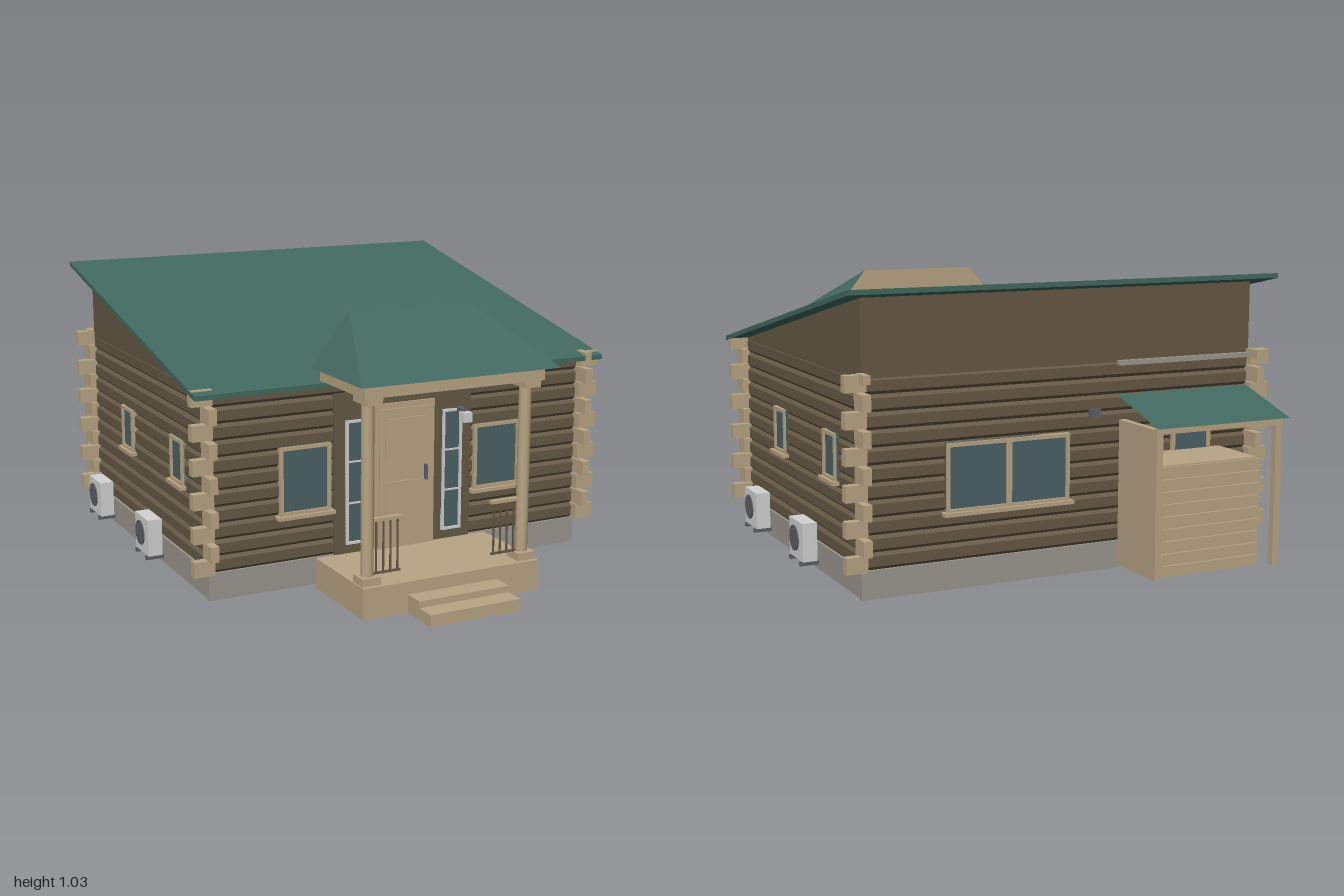
import * as THREE from 'three';

const mat = (name, color, side = THREE.FrontSide) => {
  const m = new THREE.MeshStandardMaterial({ color, side });
  m.name = name;
  return m;
};

export function createModel() {
  const tan = mat('pale timber', 0xb8a584);
  const brown = mat('dark log', 0x665945);
  const green = mat('green roofing', 0x42695f, THREE.DoubleSide);
  const stone = mat('foundation grey', 0x9b968f);
  const white = mat('light grey', 0xd2d2d2);
  const glass = mat('window glass', 0x4c6266);
  const metal = mat('dark metal', 0x5e5f66);

  const model = new THREE.Group();
  model.name = 'logCabin';

  const add = (parent, name, geo, m, x = 0, y = 0, z = 0) => {
    const mesh = new THREE.Mesh(geo, m);
    mesh.name = name;
    mesh.position.set(x, y, z);
    parent.add(mesh);
    return mesh;
  };
  // Box given by its limits on each axis
  const box = (parent, name, m, x0, x1, y0, y1, z0, z1) =>
    add(parent, name, new THREE.BoxGeometry(x1 - x0, y1 - y0, z1 - z0), m,
      (x0 + x1) / 2, (y0 + y1) / 2, (z0 + z1) / 2);
  const group = (parent, name) => {
    const g = new THREE.Group();
    g.name = name;
    parent.add(g);
    return g;
  };
  // Extrude a (z, y) profile along x, centred on x = 0
  const alongX = (points, width) => {
    const shape = new THREE.Shape(points.map(p => new THREE.Vector2(...p)));
    return new THREE.ExtrudeGeometry(shape, { depth: width, bevelEnabled: false })
      .translate(0, 0, -width / 2).rotateY(-Math.PI / 2);
  };

  // Log walls: local x runs along the wall, local z points outward
  const Y0 = 0.115, ROWS = 11, H = 0.0577;
  const wall = (name, length, x, z, turn) => {
    const g = group(model, name);
    g.position.set(x, 0, z);
    g.rotation.y = turn;
    const p = [[-0.01, Y0]];
    for (let i = 0; i < ROWS; i++) {
      const y = Y0 + i * H;
      p.push([0.003, y], [0.015, y + 0.2 * H], [0.015, y + 0.8 * H]);
    }
    p.push([0.003, Y0 + ROWS * H], [-0.01, Y0 + ROWS * H]);
    add(g, 'logCourses', alongX(p, length), brown);
    box(g, 'foundation', stone, -length / 2 - 0.012, length / 2 + 0.012, 0.017, Y0, -0.008, 0.012);
    return g;
  };
  const front = wall('frontWall', 1.47, 0, 0.47, 0);
  const back = wall('backWall', 1.47, 0, -0.72, Math.PI);
  const right = wall('rightWall', 1.19, -0.73, -0.125, -Math.PI / 2);
  const left = wall('leftWall', 1.19, 0.73, -0.125, Math.PI / 2);

  // Plain boarding above the logs
  for (const s of [-1, 1]) {
    add(model, 'gablePanel', alongX([[-0.728, 0.73], [0.47, 0.73], [0.47, 0.75], [-0.728, 1.003]], 0.016),
      brown, s * 0.735, 0, 0);
  }
  box(model, 'rearPanel', brown, -0.743, 0.743, 0.745, 1.003, -0.732, -0.716);

  // Single-pitch main roof
  add(model, 'mainRoof', alongX([[0.545, 0.735], [0.545, 0.752], [-0.805, 1.036], [-0.805, 1.019]], 1.62), green);

  // Framed window with glass passing through the wall
  const windowUnit = (g, x0, x1, y0, y1, frame = tan, t = 0.013, bars = 0, out = 0.02) => {
    const w = group(g, 'window');
    box(w, 'pane', glass, x0, x1, y0, y1, -0.013, out);
    for (const x of [x0, x1 - t]) box(w, 'jamb', frame, x, x + t, y0, y1, -0.016, out + 0.008);
    for (const y of [y0, y1 - t]) box(w, 'rail', frame, x0, x1, y, y + t, -0.016, out + 0.008);
    for (let i = 1; i <= bars; i++) {
      const y = y0 + (y1 - y0) * i / (bars + 1);
      box(w, 'bar', frame, x0, x1, y - 0.003, y + 0.003, out, out + 0.005);
    }
    return w;
  };
  const sill = (g, x0, x1, y) => box(g, 'sill', tan, x0 - 0.012, x1 + 0.012, y - 0.01, y + 0.003, 0, 0.04);

  for (const s of [-1, 1]) {
    const a = Math.min(s * 0.29, s * 0.485), b = Math.max(s * 0.29, s * 0.485);
    windowUnit(front, a, b, 0.285, 0.53);
    sill(front, a, b, 0.283);
  }
  for (const g of [left, right]) {
    for (const x of [-0.19, 0.335]) {
      windowUnit(g, x - 0.06, x + 0.06, 0.37, 0.535);
      sill(g, x - 0.06, x + 0.06, 0.37);
    }
  }
  const rear = windowUnit(back, -0.45, 0.01, 0.28, 0.515);
  box(rear, 'mullion', tan, -0.23, -0.21, 0.28, 0.515, 0.01, 0.028);
  sill(back, -0.45, 0.01, 0.28);
  windowUnit(back, 0.42, 0.58, 0.38, 0.54);
  box(back, 'ventBox', metal, 0.09, 0.13, 0.56, 0.59, 0.01, 0.03);
  box(back, 'flashing', stone, 0.2, 0.74, 0.735, 0.752, 0.01, 0.03);

  // Interlocked log ends at the four corners
  for (const sx of [-1, 1]) {
    for (const [sz, zc] of [[1, 0.485], [-1, -0.735]]) {
      const ends = group(model, 'cornerLogEnds');
      const block = (w, h, d, x, y, z) =>
        add(ends, 'logEnd', new THREE.BoxGeometry(w, h, d), tan, x, y, z);
      for (let k = 0; k < 6; k++) {
        const y = 0.145 + k * 0.118;
        block(0.075, 0.055, 0.034, sx * 0.7725, y, zc + sz * 0.012);
        if (k < 5) block(0.03, 0.055, 0.075, sx * 0.75, y + 0.059, zc + sz * 0.03);
      }
      if (sz < 0 || sx > 0) block(0.025, 0.03, 0.065, sx * 0.748, 0.75, zc + sz * 0.03);
    }
  }

  // Entrance: surround, sidelights, panelled door
  const entry = group(front, 'entrance');
  box(entry, 'surround', brown, -0.275, 0.275, Y0, 0.695, 0, 0.022);
  for (const s of [-1, 1]) {
    const w = windowUnit(entry, s * 0.194 - 0.04, s * 0.194 + 0.04, 0.15, 0.6, white, 0.009, 2, 0.026);
    w.name = 'sidelight';
  }
  box(entry, 'doorFrame', tan, -0.12, 0.12, Y0, 0.645, 0, 0.03);
  box(entry, 'door', tan, -0.103, 0.103, Y0, 0.625, 0.02, 0.035);
  for (const [a, b] of [[0.45, 0.59], [0.21, 0.36]]) box(entry, 'doorPanel', tan, -0.082, 0.082, a, b, 0.03, 0.04);
  box(entry, 'doorHandle', metal, 0.076, 0.085, 0.355, 0.41, 0.035, 0.048);
  box(entry, 'lampArm', metal, 0.21, 0.23, 0.585, 0.605, 0.02, 0.07);
  box(entry, 'lamp', white, 0.203, 0.237, 0.56, 0.595, 0.06, 0.098);

  // Porch floor and steps
  const porch = group(model, 'porch');
  box(porch, 'platform', tan, -0.345, 0.345, 0.003, 0.113, 0.485, 0.848);
  box(porch, 'upperStep', tan, -0.175, 0.175, 0.003, 0.068, 0.848, 0.925);
  box(porch, 'lowerStep', tan, -0.175, 0.175, 0.003, 0.045, 0.925, 1.0);

  // Columns and short railings
  for (const s of [-1, 1]) {
    const x = s * 0.305;
    add(porch, 'column', new THREE.CylinderGeometry(0.022, 0.022, 0.6, 12), tan, x, 0.44, 0.797);
    box(porch, 'columnBase', tan, x - 0.035, x + 0.035, 0.113, 0.14, 0.762, 0.832);
    box(porch, 'columnCap', tan, x - 0.03, x + 0.03, 0.732, 0.76, 0.75, 0.848);
    box(porch, 'handrail', tan, s * 0.23 - 0.055, s * 0.23 + 0.055, 0.325, 0.336, 0.787, 0.807);
    box(porch, 'lowerRail', brown, s * 0.23 - 0.05, s * 0.23 + 0.05, 0.14, 0.147, 0.793, 0.801);
    for (let i = 0; i < 4; i++) {
      add(porch, 'baluster', new THREE.BoxGeometry(0.005, 0.19, 0.006), brown, s * (0.19 + i * 0.027), 0.233, 0.797);
    }
  }

  // Porch beam and hipped roof with a timber rear face
  box(porch, 'beam', tan, -0.345, 0.345, 0.757, 0.806, 0.525, 0.855);
  const A = [-0.38, 0.805, 0.525], B = [-0.38, 0.805, 0.9], C = [0.38, 0.805, 0.9], D = [0.38, 0.805, 0.525];
  const E = [-0.235, 0.99, 0.525], F = [0.235, 0.99, 0.525];
  const faces = (name, tris, m) => {
    const g = new THREE.BufferGeometry();
    g.setAttribute('position', new THREE.Float32BufferAttribute(tris.flat(2), 3));
    g.computeVertexNormals();
    return add(porch, name, g, m);
  };
  faces('porchRoof', [[B, C, F], [B, F, E], [A, B, E], [C, D, F]], green);
  faces('porchRearFace', [[D, A, E], [D, E, F]], tan);
  faces('porchSoffit', [[A, D, C], [A, C, B]], tan);

  // Outdoor cooling units, two on each side wall
  const unit = (s, z) => {
    const g = group(model, 'coolingUnit');
    g.position.set(s * 0.742, 0, z);
    g.rotation.y = s * Math.PI / 2;
    box(g, 'casing', white, -0.07, 0.07, 0.05, 0.187, 0.008, 0.062);
    add(g, 'fan', new THREE.CylinderGeometry(0.046, 0.046, 0.006, 24).rotateX(Math.PI / 2), metal, -0.015, 0.12, 0.063);
    for (const x of [-0.055, 0.055]) box(g, 'foot', metal, x - 0.007, x + 0.007, 0.035, 0.05, 0, 0.068);
  };
  unit(1, 0.285);
  unit(1, -0.245);
  unit(-1, -0.6);
  unit(-1, -0.04);

  // Rear lean-to: side screen, slatted store, post and roof sheet
  const shed = group(model, 'rearLeanTo');
  box(shed, 'sideScreen', tan, -0.235, -0.21, 0.03, 0.545, -0.98, -0.735);
  box(shed, 'post', tan, -0.718, -0.692, 0.03, 0.55, -0.98, -0.955);
  box(shed, 'store', tan, -0.625, -0.235, 0.035, 0.42, -0.965, -0.735);
  for (let i = 0; i < 9; i++) {
    const y = 0.037 + i * 0.0427;
    box(shed, 'slat', tan, -0.632, -0.235, y, y + 0.037, -0.973, -0.735);
  }
  box(shed, 'eaveBeam', tan, -0.72, -0.21, 0.53, 0.55, -0.98, -0.962);
  const run = 0.265, drop = 0.08;
  const sheet = add(shed, 'leanToRoof', new THREE.PlaneGeometry(0.535, Math.hypot(run, drop)), green, -0.4675, 0.593, -0.8675);
  sheet.rotation.x = -Math.PI / 2 - Math.atan2(drop, run);

  return model;
}
